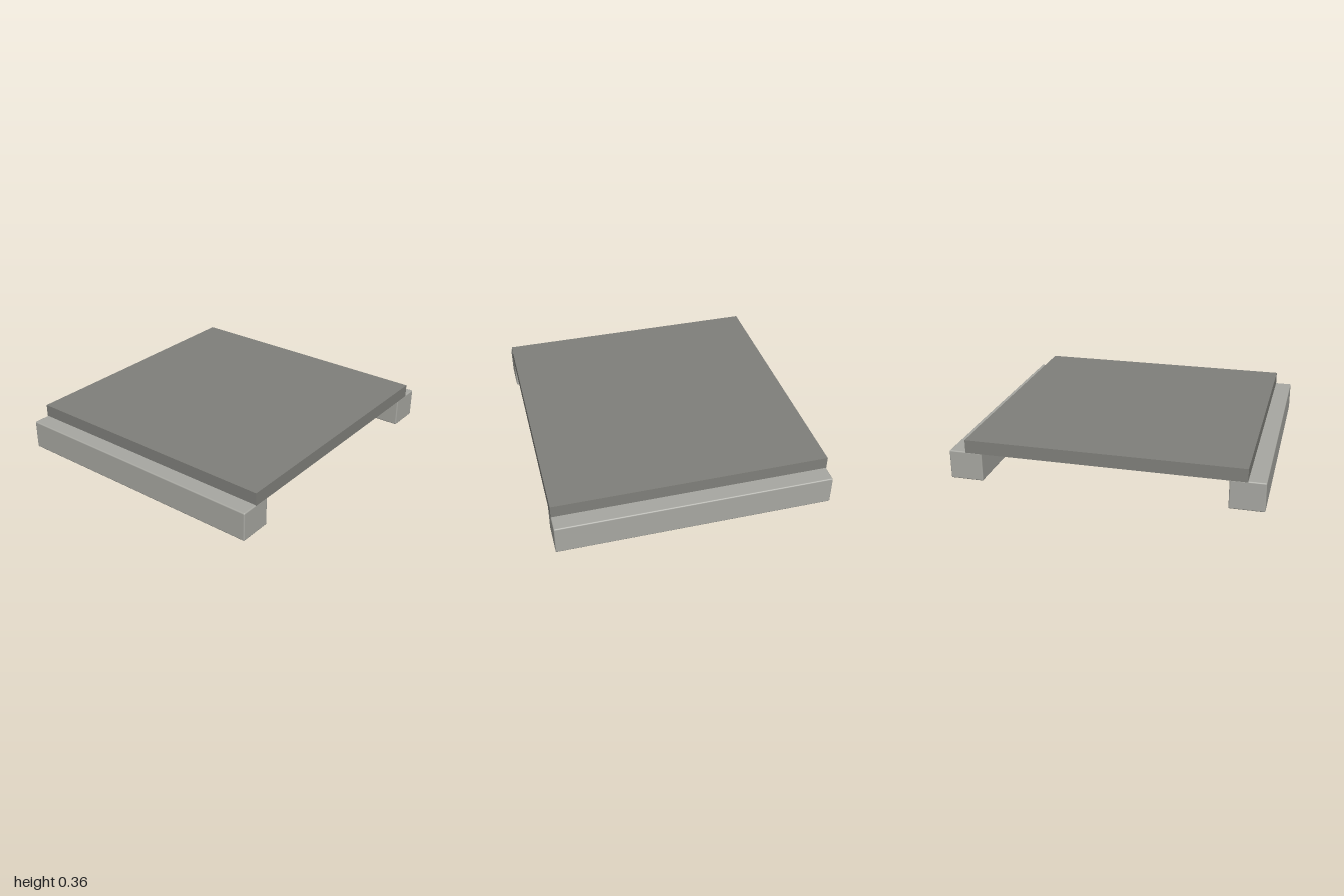
import * as THREE from 'three';
import { RoundedBoxGeometry } from 'three/addons/geometries/RoundedBoxGeometry.js';

export function createModel() {
  const model = new THREE.Group();
  model.name = 'ceilingModule';

  const material = (name, color) => {
    const m = new THREE.MeshStandardMaterial({ color });
    m.name = name;
    return m;
  };
  const lightGrey = material('lightGrey', 0xa8a8a2);
  const darkGrey = material('darkGrey', 0x80807b);
  const olive = material('olive', 0x7c8060);

  // Adds a box given by its lower and upper corners, with an optional edge radius
  function box(name, mat, [x0, y0, z0], [x1, y1, z1], radius = 0) {
    const size = [x1 - x0, y1 - y0, z1 - z0];
    const geometry = radius
      ? new RoundedBoxGeometry(...size, 2, radius)
      : new THREE.BoxGeometry(...size);
    const mesh = new THREE.Mesh(geometry, mat);
    mesh.name = name;
    mesh.position.set((x0 + x1) / 2, (y0 + y1) / 2, (z0 + z1) / 2);
    model.add(mesh);
    return mesh;
  }

  // Slab resting on two edge beams
  box('slab', darkGrey, [-0.885, 0.28, -0.89], [0.885, 0.366, 0.89]);
  box('frontBeam', lightGrey, [-0.885, 0.095, 0.78], [0.885, 0.285, 1], 0.008);
  box('backBeam', lightGrey, [-0.885, 0.095, -1], [0.885, 0.285, -0.78], 0.008);

  // Air duct under the slab
  box('duct', lightGrey, [0.14, 0.037, -0.887], [0.57, 0.279, 0.887], 0.014);

  // Hanger straps: two sides and a bottom bar each
  for (const z of [-0.665, -0.222, 0.222, 0.665]) {
    const a = z - 0.011, b = z + 0.011;
    box('strapLeft', olive, [0.568, 0.022, a], [0.59, 0.265, b]);
    box('strapRight', olive, [0.12, 0.022, a], [0.142, 0.265, b]);
    box('strapBottom', olive, [0.142, 0.022, a], [0.568, 0.04, b]);
  }

  // Vent frame with tilted slats
  const x0 = 0.225, x1 = 0.485, y0 = 0.013, y1 = 0.039, rim = 0.02;
  for (const s of [-1, 1]) {
    const z = s * (0.13 - rim / 2);
    box('ventRim', olive, [x0, y0, z - rim / 2], [x1, y1, z + rim / 2]);
    const x = (x0 + x1) / 2 + s * (0.13 - rim / 2);
    box('ventRim', olive, [x - rim / 2, y0, -0.11], [x + rim / 2, y1, 0.11]);
  }
  for (let i = -2; i <= 2; i++) {
    const z = i * 0.044;
    const slat = box('ventSlat', olive, [0.245, 0.002, z - 0.004], [0.465, 0.026, z + 0.004]);
    slat.rotation.x = 0.55;
  }

  // Pair of pipes
  for (const x of [-0.4, -0.53]) {
    const pipe = new THREE.Mesh(new THREE.CylinderGeometry(0.018, 0.018, 1.76, 16), olive);
    pipe.name = 'pipe';
    pipe.rotation.x = Math.PI / 2;
    pipe.position.set(x, 0.255, 0);
    model.add(pipe);
  }

  return model;
}
